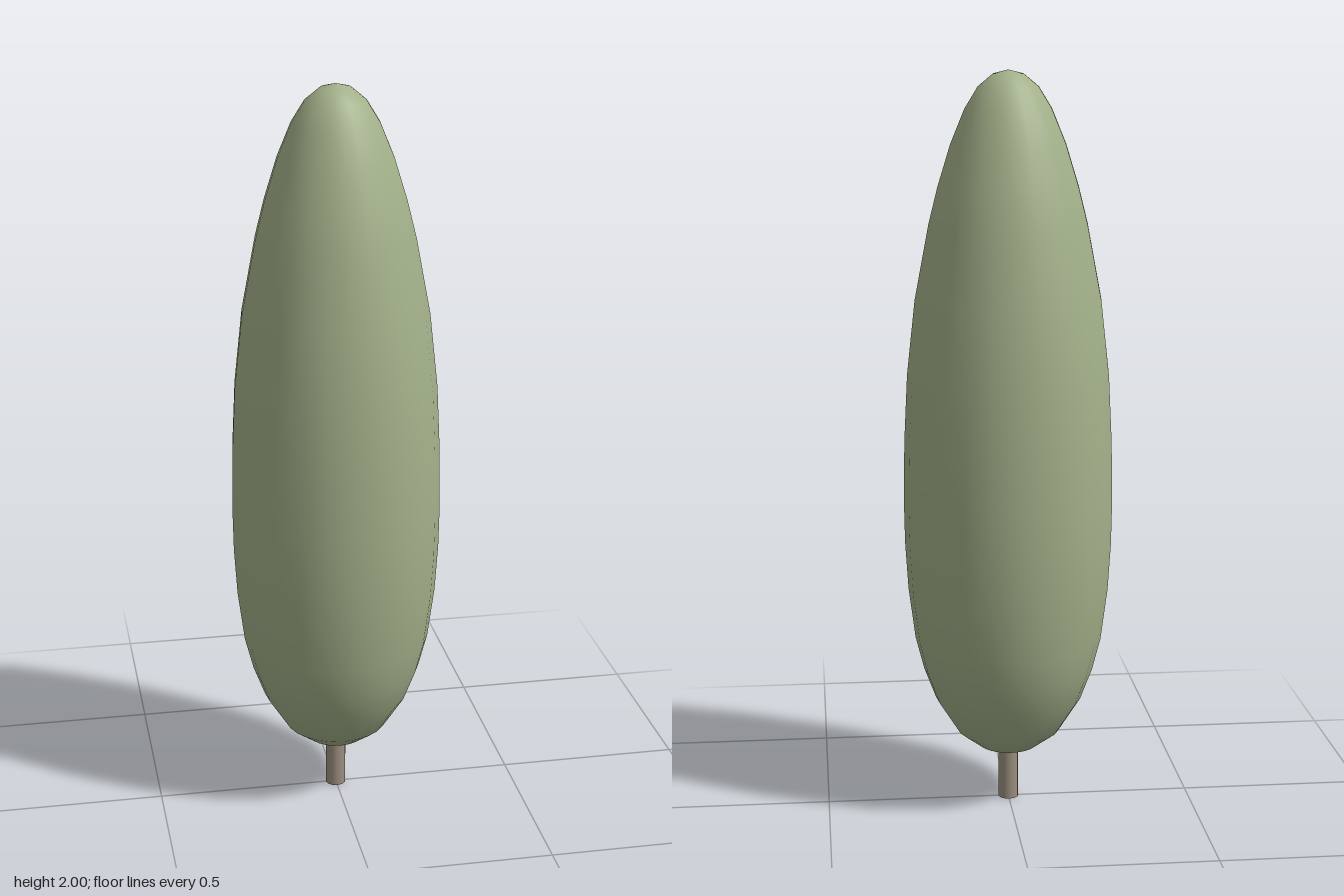
import * as THREE from 'three';

export function createModel() {
  const group = new THREE.Group();

  // Crown: slender teardrop, [radius, height] from the base to the tip
  const profile = [
    [0, 0.135], [0.04, 0.14], [0.08, 0.155], [0.14, 0.2], [0.2, 0.295], [0.232, 0.38],
    [0.255, 0.47], [0.273, 0.61], [0.281, 0.74], [0.283, 0.86], [0.28, 1.02],
    [0.271, 1.2], [0.249, 1.4], [0.211, 1.6], [0.186, 1.7], [0.152, 1.81],
    [0.115, 1.9], [0.08, 1.957], [0.04, 1.99], [0, 2],
  ].map(([r, y]) => new THREE.Vector2(r, y));
  const crown = new THREE.Mesh(
    new THREE.LatheGeometry(profile, 24),
    new THREE.MeshStandardMaterial({ color: 0xa3b18a }),
  );
  crown.name = 'crown';
  group.add(crown);

  // Trunk: short post reaching just into the crown
  const height = 0.16;
  const trunk = new THREE.Mesh(
    new THREE.CylinderGeometry(0.028, 0.028, height, 12),
    new THREE.MeshStandardMaterial({ color: 0x9c9080 }),
  );
  trunk.position.y = height / 2;
  trunk.name = 'trunk';
  group.add(trunk);

  return group;
}
